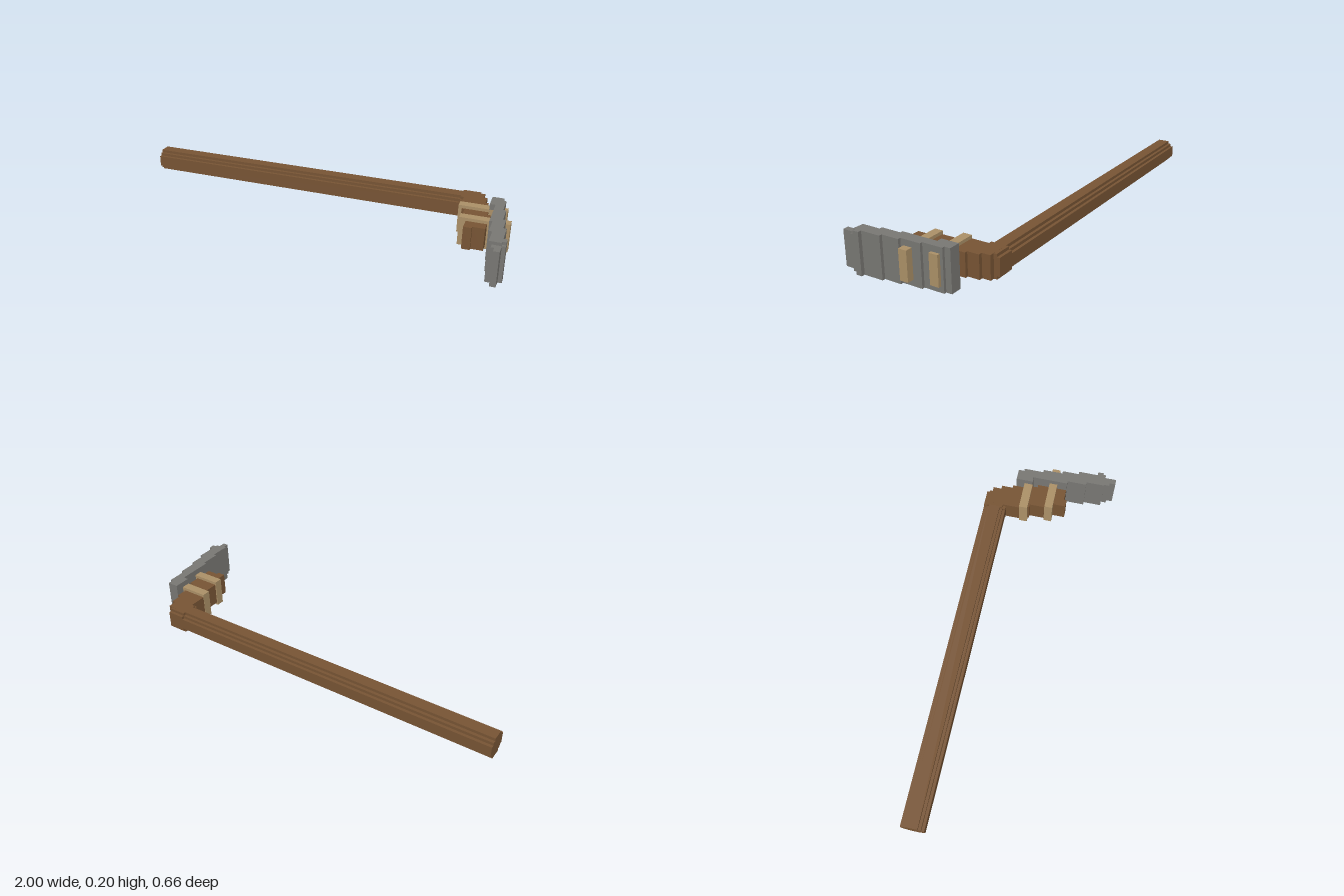
import * as THREE from 'three';

export function createModel() {
  const model = new THREE.Group();
  model.name = 'adze';
  const mat = (name, color) => {
    const m = new THREE.MeshStandardMaterial({ color });
    m.name = name;
    return m;
  };
  const wood = mat('wood', 0x775434);
  const stone = mat('stone', 0x787773);
  const cord = mat('cord', 0xab9067);
  const MID = 0.101; // height of the centre line
  const U = 0.0144; // step size

  const add = (geometry, material, name, parent = model) => {
    const mesh = new THREE.Mesh(geometry, material);
    mesh.name = name;
    parent.add(mesh);
    return mesh;
  };

  // box given by its x, y and z limits
  const box = (x0, x1, y0, y1, z0, z1, material, name) => {
    const g = new THREE.BoxGeometry(x1 - x0, y1 - y0, z1 - z0);
    g.translate((x0 + x1) / 2, (y0 + y1) / 2, (z0 + z1) / 2);
    return add(g, material, name);
  };

  // stepped plan extruded upwards; each edge list holds [x, end z] from back to front
  const plan = (start, left, right, y0, y1, material, name) => {
    const trace = (edge) => {
      let z = start;
      return edge.flatMap(([x, end]) => {
        const pair = [new THREE.Vector2(x, -z), new THREE.Vector2(x, -end)];
        z = end;
        return pair;
      });
    };
    const shape = new THREE.Shape([...trace(left), ...trace(right).reverse()]);
    const g = new THREE.ExtrudeGeometry(shape, { depth: y1 - y0, bevelEnabled: false });
    g.rotateX(-Math.PI / 2);
    g.translate(0, y0, 0);
    return add(g, material, name);
  };

  // bar along x from a stepped cross-section; quarter holds [z, y] corners in steps
  const bar = (x0, x1, quarter, name) => {
    const pts = [
      ...quarter,
      ...quarter.map(([z, y]) => [-z, y]).reverse(),
      ...quarter.map(([z, y]) => [-z, -y]),
      ...quarter.map(([z, y]) => [z, -y]).reverse(),
    ].map(([z, y]) => new THREE.Vector2(z * U, y * U * 0.985));
    const g = new THREE.ExtrudeGeometry(new THREE.Shape(pts), { depth: x1 - x0, bevelEnabled: false });
    g.rotateY(Math.PI / 2);
    g.translate(x0, MID, -0.274);
    return add(g, wood, name);
  };

  // long handle and its slightly thicker elbow
  bar(-1, 0.712, [[4, 2], [3, 2], [3, 3], [2, 3], [2, 4]], 'handle');
  bar(0.71, 0.797, [[4, 3], [3, 3], [3, 4]], 'elbow');

  // head that turns forward from the elbow
  plan(-0.302,
    [[0.727, -0.106], [0.742, -0.092], [0.757, -0.014], [0.77, 0], [0.785, 0.094]],
    [[0.82, -0.26], [0.838, -0.202], [0.853, -0.144], [0.868, -0.072], [0.883, 0.08], [0.825, 0.094]],
    0.045, 0.158, wood, 'head');

  // stone blade, leaning outwards in steps
  plan(-0.187,
    [[0.87, -0.1], [0.897, 0.08], [0.911, 0.18], [0.926, 0.273]],
    [[0.926, -0.158], [0.939, -0.057], [0.953, 0.044], [0.967, 0.13], [0.982, 0.273]],
    0, 0.202, stone, 'blade');
  box(0.97, 1, 0, 0.202, 0.23, 0.26, stone, 'bladeLip');
  box(0.97, 1, 0.015, 0.187, 0.255, 0.273, stone, 'bladeLipEdge');

  // narrower cutting edge
  plan(0.27, [[0.94, 0.3], [0.955, 0.331]], [[0.983, 0.331]], 0.015, 0.187, stone, 'cuttingEdge');

  // two cords binding blade to head
  for (const [x0, x1, z0, z1] of [[0.725, 0.955, -0.144, -0.1], [0.753, 0.987, -0.013, 0.029]]) {
    box(x0, x1, 0.03, 0.173, z0, z1, cord, 'binding');
  }
  return model;
}
